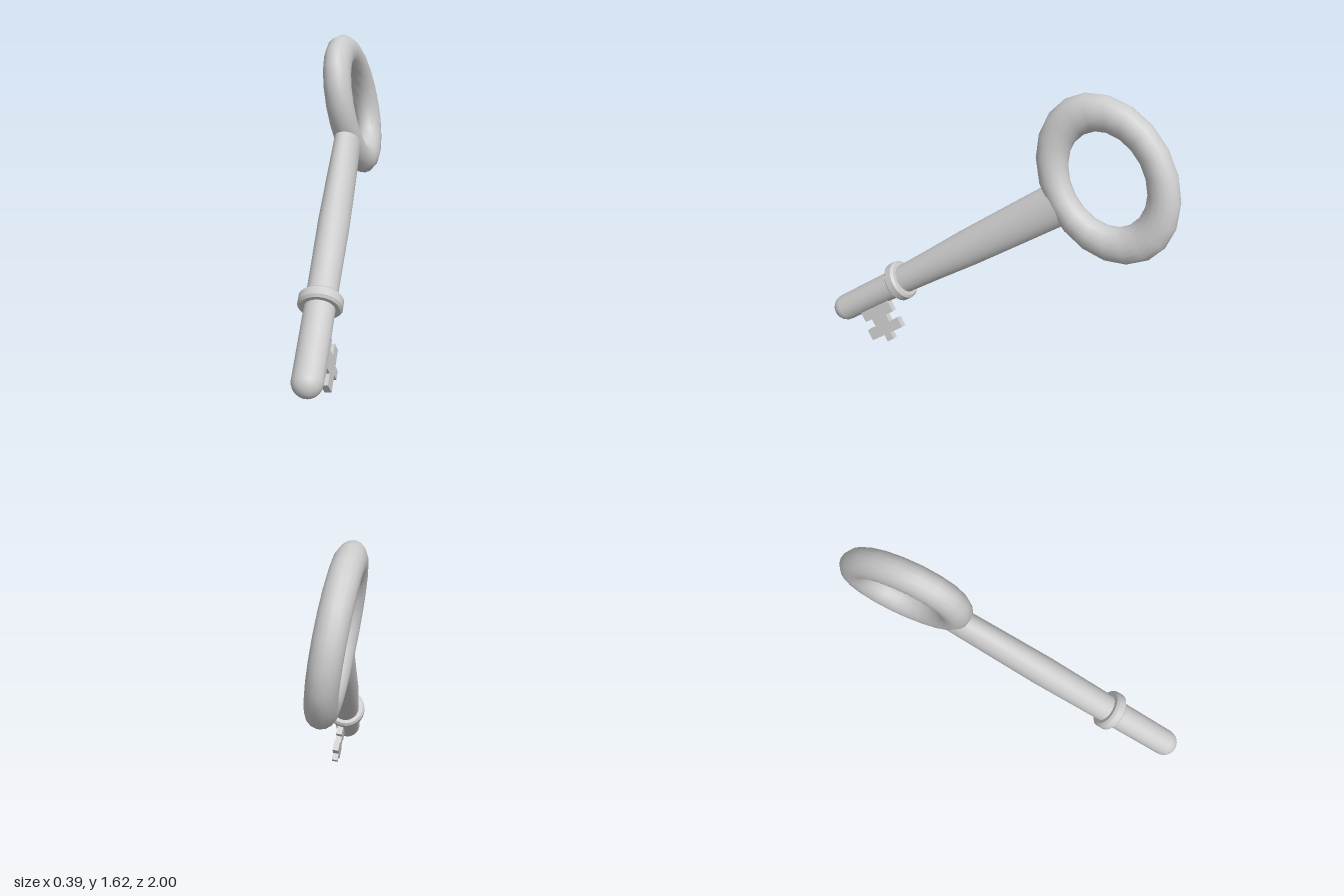
import * as THREE from 'three';
import { mergeVertices, toCreasedNormals } from 'three/addons/utils/BufferGeometryUtils.js';

const material = new THREE.MeshStandardMaterial({ color: 0xcccccc, side: THREE.DoubleSide });

function addPart(group, name, geometry) {
  const mesh = new THREE.Mesh(geometry, material);
  mesh.name = name;
  group.add(mesh);
  return mesh;
}

// Surface of revolution around the key's length (+x)
function turned(profile, segments) {
  const points = profile.map(([along, radius]) => new THREE.Vector2(radius, along));
  return new THREE.LatheGeometry(points, segments).rotateZ(-Math.PI / 2);
}

// Shaft with a round tip at x = 0, widening and flattening towards the bow
function shaftGeometry() {
  const r = 0.078;
  const profile = [];
  for (let i = 0; i <= 6; i++) {
    const a = (i / 6) * Math.PI / 2;
    profile.push([-r * Math.cos(a), r * Math.sin(a)]);
  }
  profile.push([0.44, 0.08], [0.7, 0.09], [0.95, 0.102], [1.25, 0.109], [1.57, 0.116]);
  let geometry = turned(profile, 24);
  const p = geometry.attributes.position;
  for (let i = 0; i < p.count; i++) {
    const k = THREE.MathUtils.clamp((p.getX(i) - 0.44) / 1.1, 0, 1);
    p.setZ(i, p.getZ(i) * THREE.MathUtils.lerp(1, 0.61, k));
  }
  geometry.deleteAttribute('uv');
  geometry.deleteAttribute('normal');
  geometry = mergeVertices(geometry);
  geometry.computeVertexNormals();
  return geometry;
}

// Stepped bit outline: distance from the tip, depth below the shaft's axis
const bitOutline = [
  [0.1, 0.03], [0.1, 0.13], [0.15, 0.13], [0.15, 0.18], [0.083, 0.18], [0.083, 0.247],
  [0.178, 0.247], [0.178, 0.29], [0.228, 0.29], [0.228, 0.247], [0.323, 0.247],
  [0.323, 0.187], [0.258, 0.187], [0.258, 0.14], [0.316, 0.14], [0.316, 0.03],
];

export function createModel() {
  const key = new THREE.Group();
  key.name = 'key';

  addPart(key, 'shaft', shaftGeometry());

  // Collar with bevelled rims
  const collar = turned([
    [-0.035, 0.07], [-0.035, 0.102], [-0.022, 0.115],
    [0.022, 0.115], [0.035, 0.102], [0.035, 0.07],
  ], 24);
  addPart(key, 'collar', toCreasedNormals(collar, 0.6)).position.x = 0.443;

  // Oval ring handle
  const bow = addPart(key, 'bow', new THREE.TorusGeometry(0.275, 0.078, 16, 20));
  bow.position.x = 1.869;
  bow.scale.y = 1.3;

  // Flat bit, set slightly to one side of the shaft
  const depth = 0.036;
  const outline = new THREE.Shape(bitOutline.map(([x, y]) => new THREE.Vector2(x, -y)));
  const bit = addPart(key, 'bit', new THREE.ExtrudeGeometry(outline, { depth, bevelEnabled: false }));
  bit.position.z = 0.02 - depth / 2;

  // Leaning pose: x runs from tip to bow, z is the normal of the bow's plane
  const along = new THREE.Vector3(-0.187, 1.053, -1.535).normalize();
  const up = new THREE.Vector3(1, 0.15, -0.018).cross(along).normalize();
  const side = along.clone().cross(up);
  key.quaternion.setFromRotationMatrix(new THREE.Matrix4().makeBasis(along, up, side));
  key.position.set(0.122, 0.16, 0.922);

  const model = new THREE.Group();
  model.add(key);
  return model;
}
